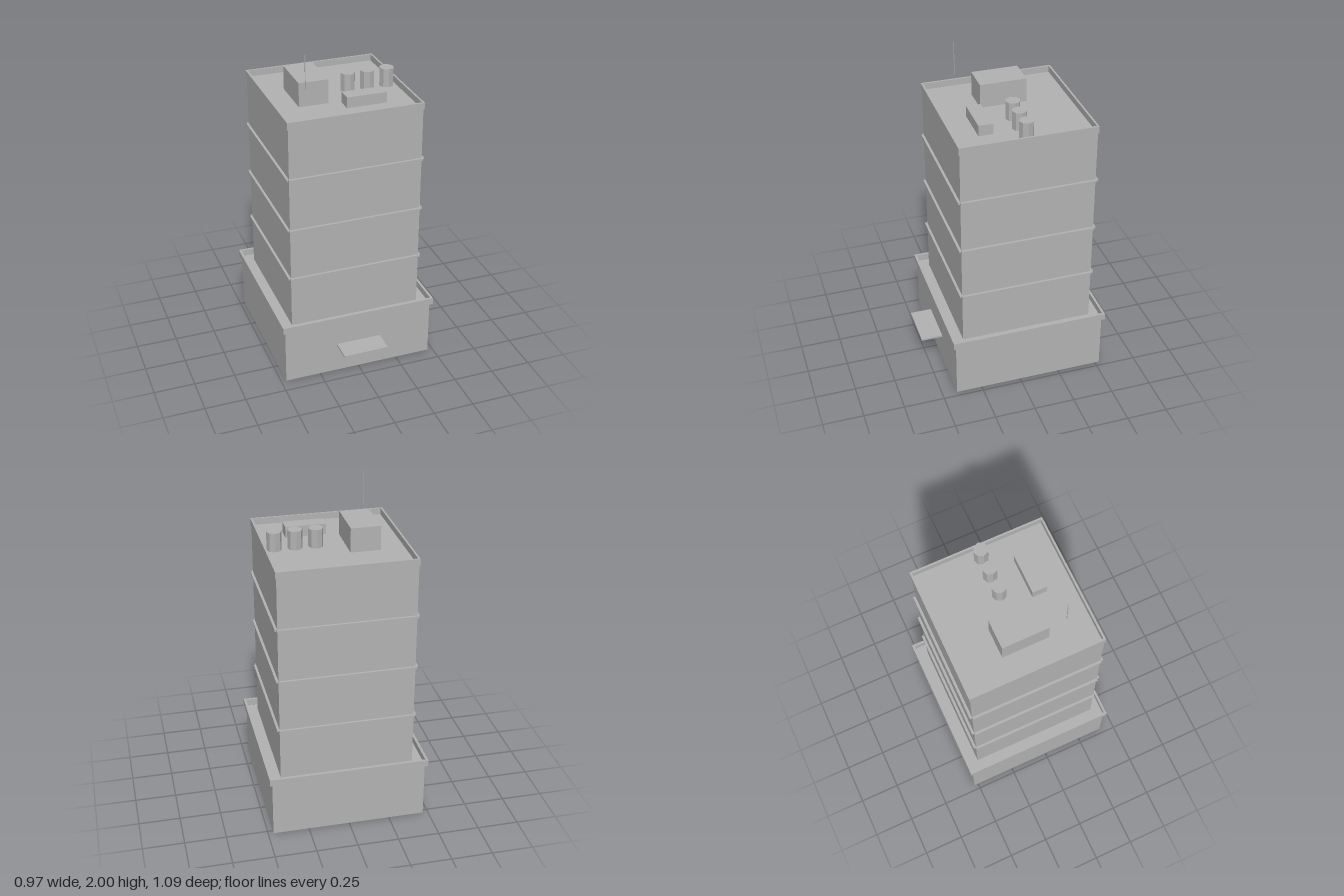
import * as THREE from 'three';

const CZ = -0.0585; // the tower and podium sit slightly behind the entrance canopy

export function createModel() {
  const model = new THREE.Group();
  model.name = 'officeTower';
  const concrete = new THREE.MeshStandardMaterial({ color: 0xb2b2b2, side: THREE.DoubleSide });
  concrete.name = 'concrete grey';

  const add = (name, geometry, x = 0, y = 0, z = 0, parent = model) => {
    const mesh = new THREE.Mesh(geometry, concrete);
    mesh.name = name;
    mesh.position.set(x, y, z);
    parent.add(mesh);
    return mesh;
  };

  // Box given by its extents
  const box = (name, x0, x1, y0, y1, z0, z1, parent) =>
    add(name, new THREE.BoxGeometry(x1 - x0, y1 - y0, z1 - z0),
      (x0 + x1) / 2, (y0 + y1) / 2, (z0 + z1) / 2, parent);

  // Square shell with a roof and no floor
  const shell = (name, half, y0, y1) => {
    const g = new THREE.BoxGeometry(2 * half, y1 - y0, 2 * half);
    const index = Array.from(g.index.array);
    index.splice(18, 6); // drop the bottom face
    g.setIndex(index);
    g.clearGroups();
    return add(name, g, 0, (y0 + y1) / 2, CZ);
  };

  // Square upright ring
  const ring = (name, outer, inner, y0, y1) => {
    const square = (h, Type) => new Type([[-h, -h], [h, -h], [h, h], [-h, h]]
      .map(([a, b]) => new THREE.Vector2(a, b)));
    const shape = square(outer, THREE.Shape);
    shape.holes.push(square(inner, THREE.Path));
    const g = new THREE.ExtrudeGeometry(shape, { depth: y1 - y0, bevelEnabled: false });
    g.rotateX(-Math.PI / 2);
    return add(name, g, 0, y0, CZ);
  };

  // Podium, open underneath, with its raised edge
  shell('podium', 0.468, 0, 0.352);
  ring('podiumCornice', 0.484, 0.469, 0.352, 0.393);

  // Tower and roof parapet
  shell('tower', 0.405, 0.352, 1.645);
  ring('roofParapet', 0.41, 0.398, 1.64, 1.685);

  // Thin ledges around the tower: one strip per side, corners left open
  for (const y of [0.677, 1.002, 1.33]) {
    const ledge = new THREE.Group();
    ledge.name = 'ledge';
    ledge.position.set(0, y, CZ);
    model.add(ledge);
    for (const s of [-1, 1]) {
      add('ledgeAcross', new THREE.BoxGeometry(0.818, 0.012, 0.016), 0, 0, s * 0.412, ledge);
      add('ledgeSide', new THREE.BoxGeometry(0.016, 0.012, 0.81), s * 0.412, 0, 0, ledge);
    }
  }

  // Entrance canopy
  box('entranceCanopy', -0.14, 0.14, 0.179, 0.191, 0.405, 0.5425);

  // Rooftop equipment
  box('liftHouse', -0.253, -0.075, 1.645, 1.792, -0.202, 0.082);
  box('ductBox', 0, 0.244, 1.645, 1.711, 0.1, 0.189);
  for (const x of [0.097, 0.219, 0.341]) {
    const g = new THREE.CylinderGeometry(0.044, 0.044, 0.113, 8).toNonIndexed();
    g.computeVertexNormals();
    add('coolingUnit', g, x, 1.7015, -0.06);
  }
  add('antenna', new THREE.CylinderGeometry(0.0025, 0.0025, 0.208, 6), -0.247, 1.896, 0.186);

  return model;
}
